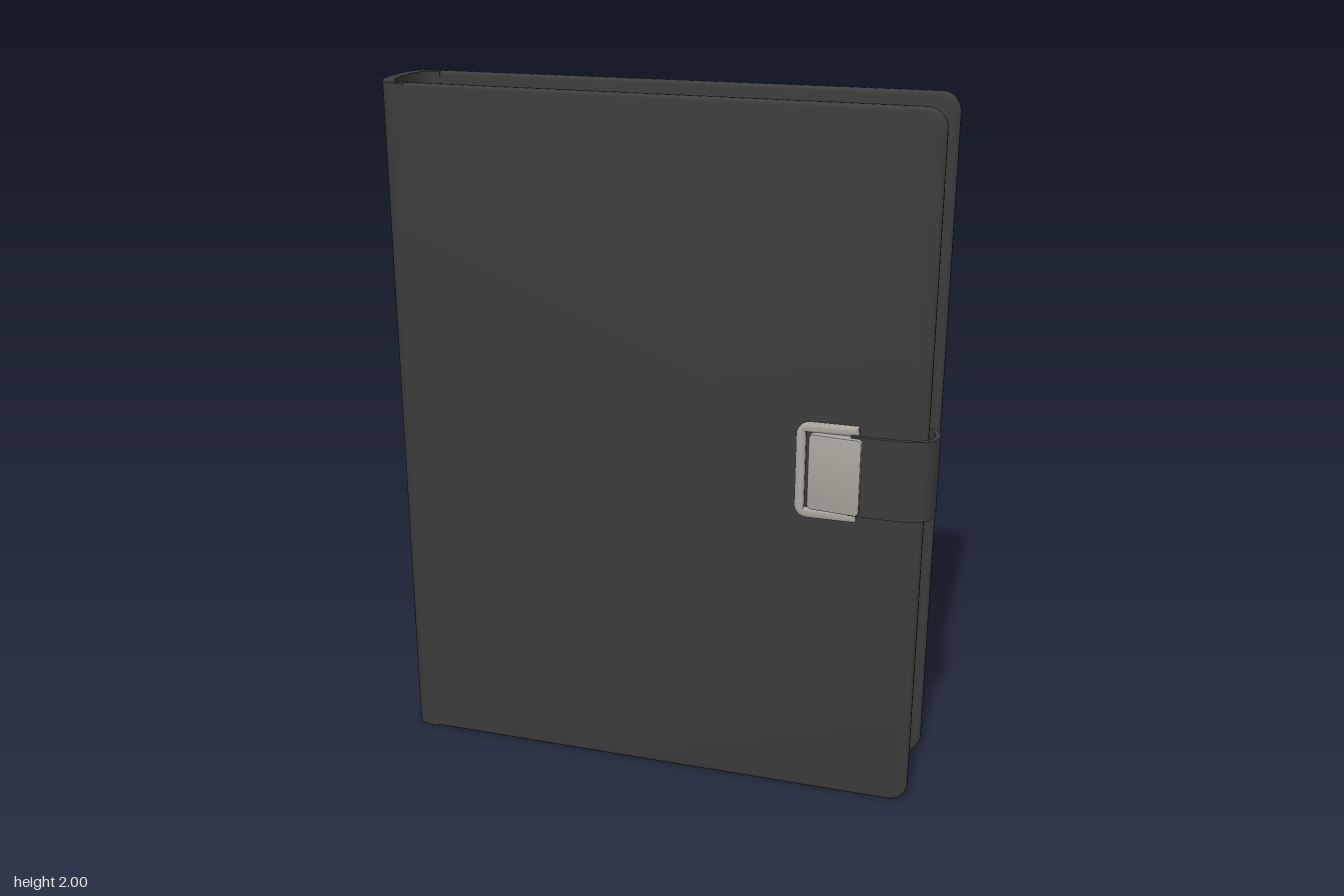
import * as THREE from 'three';
import { toCreasedNormals } from 'three/addons/utils/BufferGeometryUtils.js';

const leather = new THREE.MeshStandardMaterial({ color: 0x3c3c3c });
leather.name = 'dark leather';
const paper = new THREE.MeshStandardMaterial({ color: 0x3a3a3a });
paper.name = 'dark paper';
const metal = new THREE.MeshStandardMaterial({ color: 0xa9a69e });
metal.name = 'brushed metal';

function addMesh(parent, name, geometry, material) {
  const mesh = new THREE.Mesh(toCreasedNormals(geometry, 0.7), material);
  mesh.name = name;
  parent.add(mesh);
  return mesh;
}

// Upright prism: a closed outline of [x, z] points raised from y0 to y1
function prism(points, y0, y1) {
  const shape = new THREE.Shape(points.map(([x, z]) => new THREE.Vector2(x, -z)));
  return new THREE.ExtrudeGeometry(shape, { depth: y1 - y0, bevelEnabled: false })
    .rotateX(-Math.PI / 2).translate(0, y0, 0);
}

// Closed outline of a band of even thickness around an [x, z] path
function band(path, thickness) {
  const side = (s) => path.map(([x, z], i) => {
    const a = path[Math.max(i - 1, 0)], b = path[Math.min(i + 1, path.length - 1)];
    const dx = b[0] - a[0], dz = b[1] - a[1], l = Math.hypot(dx, dz);
    return [x - (dz / l) * s, z + (dx / l) * s];
  });
  return [...side(thickness / 2), ...side(-thickness / 2).reverse()];
}

// Board with two rounded corners at the opening side
function boardGeometry() {
  const x0 = -0.745, x1 = 0.77, r = 0.055, t = 0.033, bevel = 0.011;
  const s = new THREE.Shape();
  s.moveTo(x0, 0);
  s.lineTo(x1 - r, 0);
  s.absarc(x1 - r, r, r, -Math.PI / 2, 0, false);
  s.lineTo(x1, 2 - r);
  s.absarc(x1 - r, 2 - r, r, 0, Math.PI / 2, false);
  s.lineTo(x0, 2);
  return new THREE.ExtrudeGeometry(s, {
    depth: t - 2 * bevel, bevelEnabled: true, bevelThickness: bevel,
    bevelSize: bevel, bevelOffset: -bevel, bevelSegments: 3, curveSegments: 10,
  }).translate(0, 0, bevel - t / 2);
}

function roundedRect(x0, y0, x1, y1, r) {
  const s = new THREE.Shape();
  s.absarc(x1 - r, y0 + r, r, -Math.PI / 2, 0, false);
  s.absarc(x1 - r, y1 - r, r, 0, Math.PI / 2, false);
  s.absarc(x0 + r, y1 - r, r, Math.PI / 2, Math.PI, false);
  s.absarc(x0 + r, y0 + r, r, Math.PI, Math.PI * 1.5, false);
  return s;
}

export function createModel() {
  const book = new THREE.Group();
  book.name = 'clasped journal';

  // Covers, opening slightly away from the spine
  const front = addMesh(book, 'frontCover', boardGeometry(), leather);
  front.position.z = 0.099;
  front.rotation.y = -0.006;
  const back = addMesh(book, 'backCover', boardGeometry(), leather);
  back.position.z = -0.161;
  back.rotation.y = 0.012;

  // Rounded spine
  const spinePath = [];
  for (let i = 0; i <= 28; i++) {
    const a = Math.PI / 2 + (Math.PI * i) / 28;
    const c = Math.abs(Math.cos(a)) ** 0.8, s = Math.sign(Math.sin(a)) * Math.abs(Math.sin(a)) ** 0.8;
    spinePath.push([-0.72 - 0.064 * c, -0.0285 + 0.123 * s]);
  }
  spinePath.unshift([-0.705, 0.0945]);
  spinePath.push([-0.705, -0.1515]);
  addMesh(book, 'spine', prism(band(spinePath, 0.033), 0.001, 1.999), leather);

  // Wavy page bundles, each following the ripple of its neighbours
  const pages = new THREE.Group();
  pages.name = 'pages';
  book.add(pages);
  const bundles = 10, steps = 32;
  const ripple = (x, k) => {
    const f = k / bundles, end = Math.sin((Math.PI * (x + 0.76)) / 1.46);
    const dip = 0.016 * f * Math.exp(-(((x - 0.22) / 0.12) ** 2));
    return 0.084 - 0.222 * f + end * 0.007 * Math.sin(x * 9 + k * 0.7) * Math.sin(Math.PI * f) + dip;
  };
  for (let k = 0; k < bundles; k++) {
    const x0 = -0.755 + 0.04 * Math.abs(k / (bundles - 1) - 0.5) ** 2;
    const x1 = 0.69 + 0.008 * Math.sin(k * 2.3);
    const xs = Array.from({ length: steps + 1 }, (_, i) => x0 + ((x1 - x0) * i) / steps);
    const outline = [
      ...xs.map((x) => [x, ripple(x, k)]),
      [x1 + 0.007, (ripple(x1, k) + ripple(x1, k + 1)) / 2],
      ...xs.reverse().map((x) => [x, ripple(x, k + 1)]),
    ];
    const trim = 0.006 * Math.sin(k * 1.9);
    addMesh(pages, 'pageBundle' + (k + 1), prism(outline, 0.1 + trim, 1.92 + trim), paper);
  }

  // Strap looping from the page edge round to the clasp
  const strapCurve = new THREE.CatmullRomCurve3([
    [0.67, 0.022], [0.73, 0.03], [0.775, 0.05], [0.793, 0.09],
    [0.778, 0.132], [0.735, 0.152], [0.66, 0.156], [0.57, 0.153],
  ].map(([x, z]) => new THREE.Vector3(x, 0, z)));
  const strapPath = strapCurve.getPoints(36).map((p) => [p.x, p.z]);
  addMesh(book, 'strap', prism(band(strapPath, 0.014), 0.9, 1.13), leather);

  // Clasp: open frame and wedge-shaped plate
  const clasp = new THREE.Group();
  clasp.name = 'clasp';
  book.add(clasp);
  const frame = new THREE.Shape();
  const [fx0, fx1, fy0, fy1, w, r] = [0.417, 0.588, 0.872, 1.148, 0.026, 0.035];
  frame.moveTo(fx1, fy1);
  frame.lineTo(fx0 + r, fy1);
  frame.absarc(fx0 + r, fy1 - r, r, Math.PI / 2, Math.PI, false);
  frame.lineTo(fx0, fy0 + r);
  frame.absarc(fx0 + r, fy0 + r, r, Math.PI, Math.PI * 1.5, false);
  frame.lineTo(fx1, fy0);
  frame.lineTo(fx1, fy0 + w);
  frame.lineTo(fx0 + w, fy0 + w);
  frame.lineTo(fx0 + w, fy1 - w);
  frame.lineTo(fx1, fy1 - w);
  addMesh(clasp, 'claspFrame', new THREE.ExtrudeGeometry(frame, {
    depth: 0.012, bevelEnabled: true, bevelThickness: 0.007, bevelSize: 0.007,
    bevelOffset: -0.007, bevelSegments: 3,
  }).translate(0, 0, 0.125), metal);

  const plate = new THREE.ExtrudeGeometry(roundedRect(0.455, 0.905, 0.602, 1.125, 0.014), {
    depth: 0.016, bevelEnabled: true, bevelThickness: 0.005, bevelSize: 0.005,
    bevelOffset: -0.005, bevelSegments: 2,
  }).translate(0, 0, 0.139);
  const pos = plate.attributes.position;
  for (let i = 0; i < pos.count; i++) {
    const t = (pos.getX(i) - 0.455) / 0.147;
    if (pos.getZ(i) > 0.147) pos.setZ(i, pos.getZ(i) + 0.017 * t);
  }
  addMesh(clasp, 'claspPlate', plate, metal);

  return book;
}
